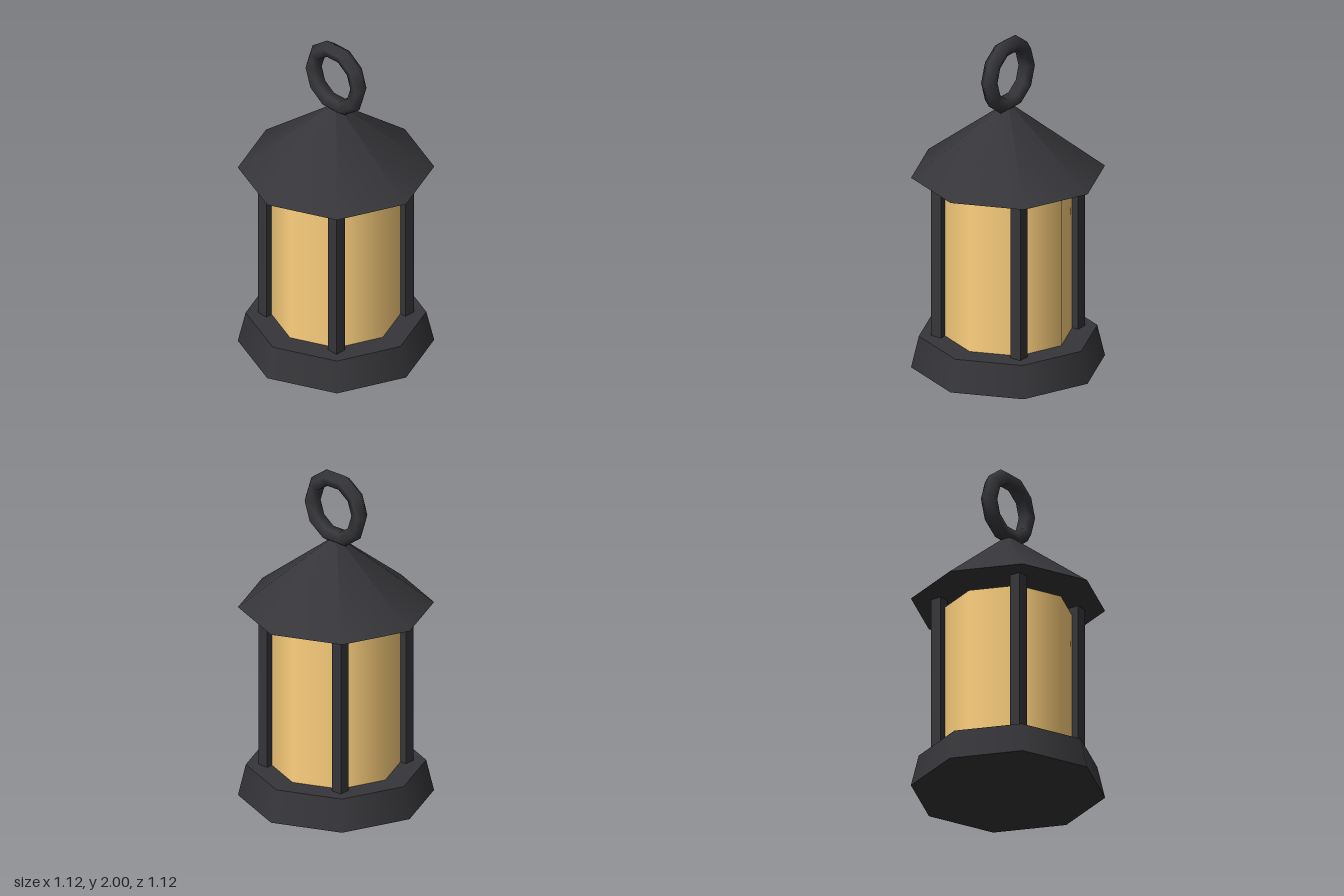
import * as THREE from 'three';

export function createModel() {
  const lantern = new THREE.Group();
  lantern.name = 'lantern';
  const iron = new THREE.MeshStandardMaterial({ color: 0x36363a });
  const amber = new THREE.MeshStandardMaterial({ color: 0xffd27f });

  const add = (name, geometry, material, x, y, z) => {
    const mesh = new THREE.Mesh(geometry, material);
    mesh.name = name;
    mesh.position.set(x, y, z);
    lantern.add(mesh);
  };

  // Tapered octagonal foot
  add('base', new THREE.CylinderGeometry(0.515, 0.56, 0.19, 8), iron, 0, 0.095, 0);

  // Glowing glass body, stopping just short of the roof
  add('glass', new THREE.CylinderGeometry(0.375, 0.375, 0.935, 8), amber, 0, 0.6575, 0);

  // Four square corner posts
  const post = new THREE.BoxGeometry(0.068, 0.99, 0.068);
  for (const x of [-0.28, 0.28])
    for (const z of [-0.28, 0.28]) add('post', post, iron, x, 0.685, z);

  // Octagonal roof, closed underneath
  add('roof', new THREE.ConeGeometry(0.56, 0.435, 8), iron, 0, 1.3925, 0);

  // Carrying ring
  add('ring', new THREE.TorusGeometry(0.182, 0.049, 5, 10), iron, 0, 1.78, 0);

  return lantern;
}
